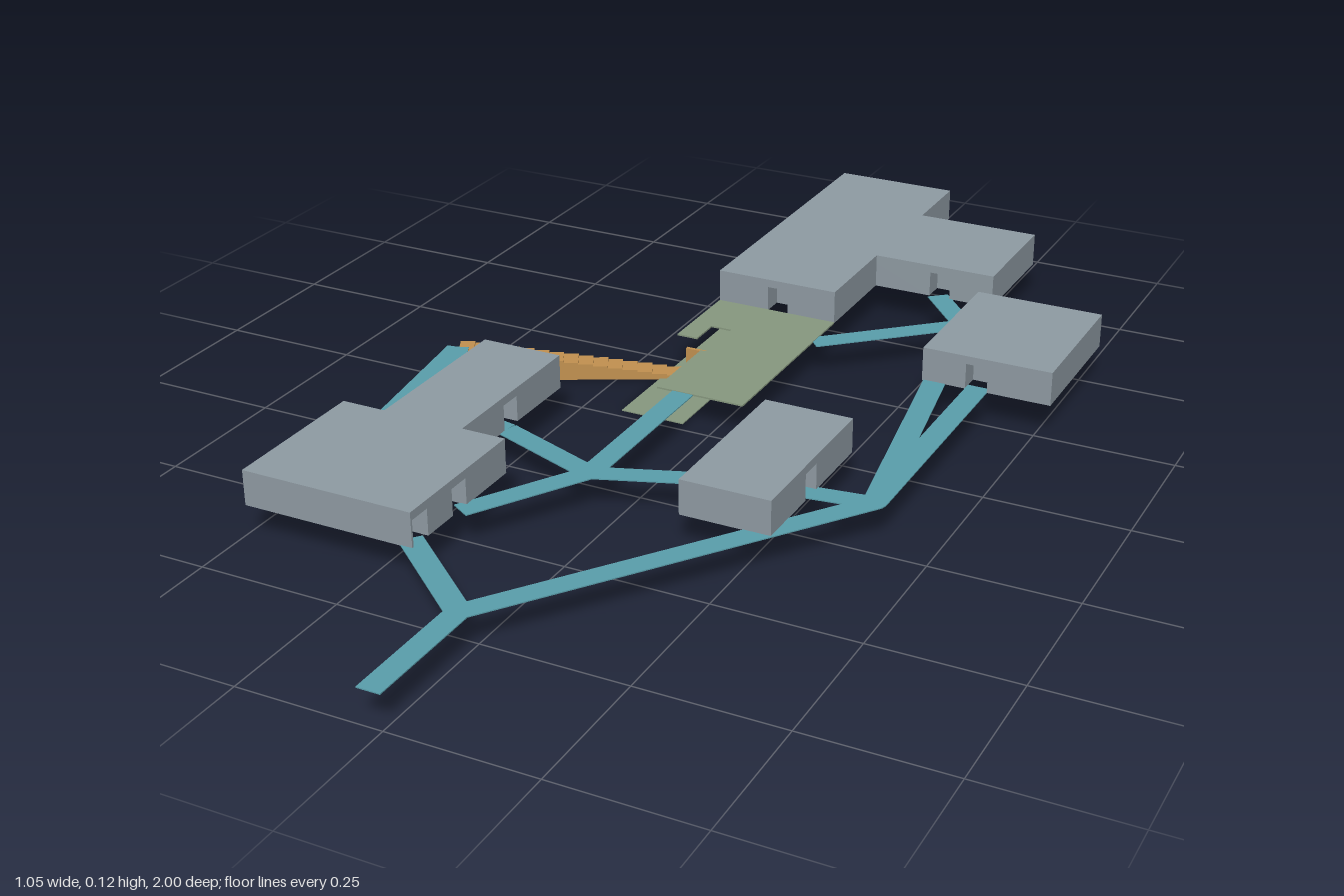
import * as THREE from 'three';

const DECK = 0.06, DOOR_TOP = 0.107, ROOF = 0.122;

export function createModel() {
  const model = new THREE.Group();
  model.name = 'raisedCampus';
  const mat = (name, color) => {
    const m = new THREE.MeshStandardMaterial({ color });
    m.name = name;
    return m;
  };
  const grey = mat('blockGrey', 0x8f9ba3);
  const teal = mat('pathTeal', 0x5a9fac);
  const green = mat('plazaGreen', 0x87987f);
  const ochre = mat('stairOchre', 0xc29150);

  const add = (parent, name, geometry, material) => {
    const mesh = new THREE.Mesh(geometry, material);
    mesh.name = name;
    parent.add(mesh);
    return mesh;
  };

  // Plan outline of [x, z] points raised from y0 to y1
  const prism = (points, y0, y1) => {
    const shape = new THREE.Shape(points.map(([x, z]) => new THREE.Vector2(x, -z)));
    const g = new THREE.ExtrudeGeometry(shape, { depth: y1 - y0, bevelEnabled: false });
    return g.rotateX(-Math.PI / 2).translate(0, y0, 0);
  };

  // Blocks: walls with doorways cut in plan, then a plain roof layer
  const block = (name, roof, walls) => {
    const group = new THREE.Group();
    group.name = name;
    walls.forEach(w => add(group, 'walls', prism(w, DECK, DOOR_TOP), grey));
    add(group, 'roof', prism(roof, DOOR_TOP, ROOF), grey);
    model.add(group);
  };
  const rect = (x0, x1, z0, z1) => [[x0, z0], [x1, z0], [x1, z1], [x0, z1]];

  block('backBlock',
    [[-0.18, -1], [0.055, -1], [0.055, -0.845], [0.29, -0.845], [0.29, -0.61],
      [0.055, -0.61], [0.055, -0.41], [-0.18, -0.41]],
    [[[-0.18, -1], [0.055, -1], [0.055, -0.845], [0.29, -0.845], [0.29, -0.61],
      [0.205, -0.61], [0.205, -0.65], [0.165, -0.65], [0.165, -0.61],
      [0.055, -0.61], [0.055, -0.41], [-0.04, -0.41], [-0.04, -0.45],
      [-0.08, -0.45], [-0.08, -0.41], [-0.18, -0.41]]]);

  block('leftBlock', rect(0.29, 0.525, -0.53, -0.255),
    [[[0.29, -0.53], [0.525, -0.53], [0.525, -0.255], [0.41, -0.255], [0.41, -0.295],
      [0.37, -0.295], [0.37, -0.255], [0.29, -0.255]]]);

  // The two front blocks have a passage right through
  block('middleBlock', rect(0.132, 0.29, 0.055, 0.37),
    [rect(0.132, 0.29, 0.055, 0.2), rect(0.132, 0.29, 0.242, 0.37)]);

  block('rightBlock',
    [[-0.41, 0.055], [-0.26, 0.055], [-0.26, 0.37], [-0.18, 0.37], [-0.18, 0.645],
      [-0.49, 0.645], [-0.49, 0.37], [-0.41, 0.37]],
    [rect(-0.41, -0.26, 0.055, 0.2),
      [[-0.41, 0.242], [-0.26, 0.242], [-0.26, 0.37], [-0.18, 0.37],
        [-0.18, 0.49], [-0.22, 0.49], [-0.22, 0.53], [-0.18, 0.53],
        [-0.18, 0.6], [-0.22, 0.6], [-0.22, 0.641], [-0.18, 0.641], [-0.18, 0.645],
        [-0.49, 0.645], [-0.49, 0.37], [-0.475, 0.37], [-0.475, 0.41],
        [-0.435, 0.41], [-0.435, 0.37], [-0.41, 0.37]]]);

  // Walkways: flat strips between plan points
  const paths = new THREE.Group();
  paths.name = 'walkways';
  model.add(paths);
  const T = 0.002;
  const routes = [
    [[-0.02, 1], [-0.02, 0.77], [-0.2, 0.62]],
    [[-0.02, 0.77], [0.39, 0.2], [0.21, 0.223], [0.132, 0.24], [-0.06, 0.31]],
    [[-0.06, 0.31], [-0.26, 0.235], [-0.41, 0.205], [-0.51, -0.01]],
    [[-0.06, -0.02], [-0.06, 0.31], [-0.18, 0.51]],
    [[0.39, -0.27], [0.39, 0.2], [0.27, -0.51], [0.18, -0.615]],
    [[0.27, -0.51], [0.055, -0.315]],
    [[-0.51, -0.01], [-0.452, 0.39]],
  ];
  routes.forEach(route => route.slice(1).forEach(([x1, z1], i) => {
    const [x0, z0] = route[i];
    const strip = add(paths, 'walkway',
      new THREE.BoxGeometry(Math.hypot(x1 - x0, z1 - z0), T, 0.04), teal);
    strip.position.set((x0 + x1) / 2, DECK, (z0 + z1) / 2);
    strip.rotation.y = -Math.atan2(z1 - z0, x1 - x0);
  }));
  // Round off the forks
  [[-0.02, 0.77], [0.39, 0.2], [-0.06, 0.31], [0.27, -0.51]].forEach(([x, z]) => {
    add(paths, 'fork', new THREE.CylinderGeometry(0.02, 0.02, T, 12), teal).position.set(x, DECK, z);
  });

  // Two plaza levels; the upper one is notched around the stair
  add(model, 'lowerPlaza', prism(rect(-0.18, -0.06, -0.41, -0.02), 0, T), green);
  add(model, 'upperPlaza', prism([
    [-0.18, -0.41], [0.055, -0.41], [0.055, -0.02], [-0.11, -0.02], [-0.11, -0.19],
    [-0.1, -0.19], [-0.1, -0.295], [-0.14, -0.295], [-0.14, -0.235], [-0.18, -0.235],
  ], DECK - T / 2, DECK + T), green);

  // Solid stepped flight descending from one plan point to another
  const flight = (name, [x0, z0], [x1, z1], width, steps) => {
    const length = Math.hypot(x1 - x0, z1 - z0);
    const shape = new THREE.Shape();
    shape.moveTo(0, 0);
    for (let i = 0; i < steps; i++) {
      const y = DECK * (1 - i / steps);
      shape.lineTo(length * i / steps, y);
      shape.lineTo(length * (i + 1) / steps, y);
    }
    shape.lineTo(length, 0);
    const g = new THREE.ExtrudeGeometry(shape, { depth: width, bevelEnabled: false });
    const mesh = add(model, name, g.translate(0, 0, -width / 2), ochre);
    mesh.position.set(x0, 0, z0);
    mesh.rotation.y = -Math.atan2(z1 - z0, x1 - x0);
  };
  flight('longStair', [-0.511, -0.018], [-0.13, -0.212], 0.04, 16);
  flight('shortStair', [-0.12, -0.19], [-0.12, -0.295], 0.04, 16);

  return model;
}
